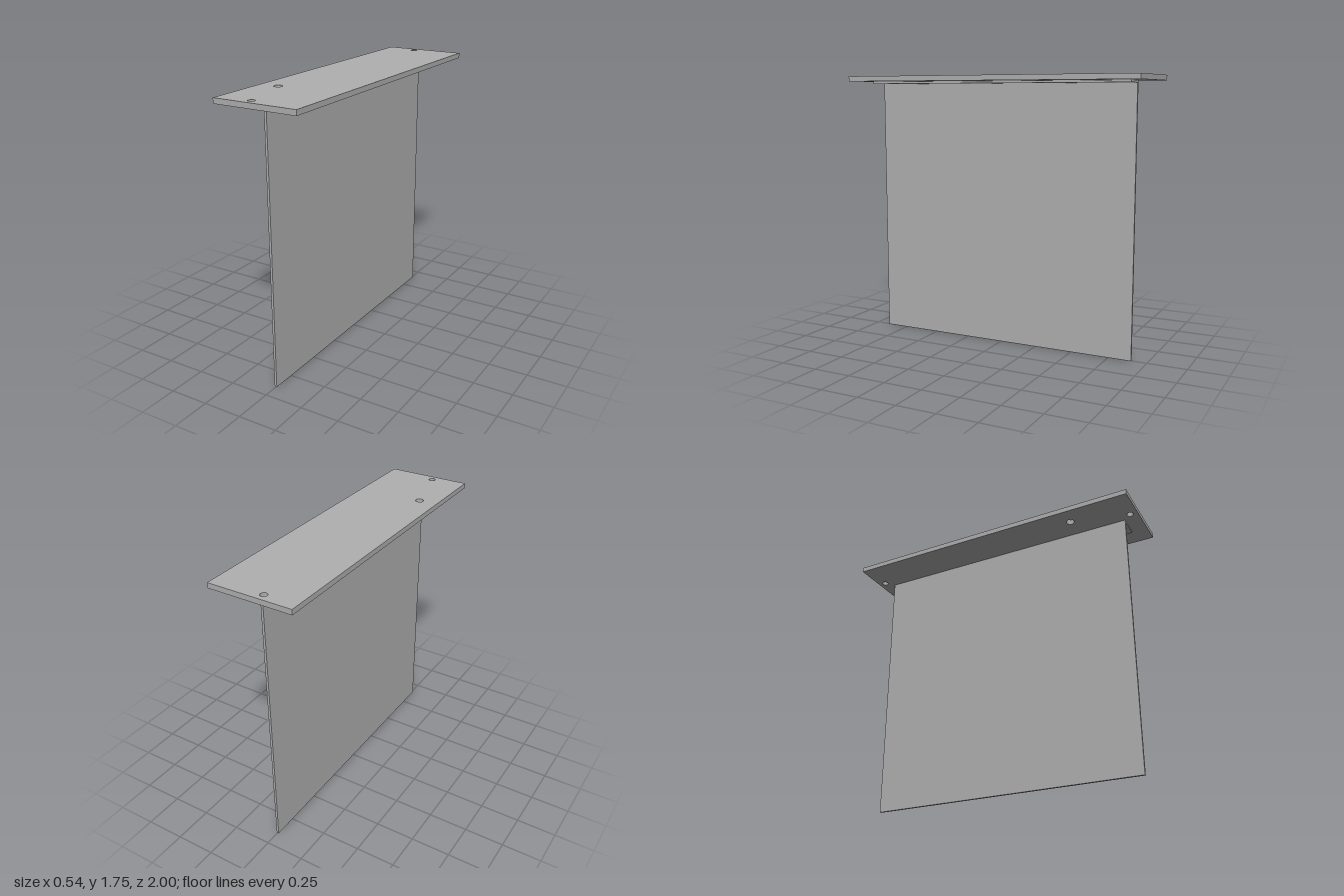
import * as THREE from 'three';

export function createModel() {
  const group = new THREE.Group();
  const grey = new THREE.MeshStandardMaterial({ color: 0xb0b0b0 });
  grey.name = 'grey metal';

  // Extrude a flat shape and name the resulting part
  const addPart = (name, shape, depth) => {
    const geometry = new THREE.ExtrudeGeometry(shape, { depth, bevelEnabled: false, curveSegments: 20 });
    const mesh = new THREE.Mesh(geometry, grey);
    mesh.name = name;
    group.add(mesh);
    return mesh;
  };

  // Top plate, drawn in x and -z, with three drilled holes
  const plate = new THREE.Shape([
    [-0.27, -1], [0.27, -1], [0.27, 1], [-0.27, 1],
  ].map(([x, y]) => new THREE.Vector2(x, y)));
  for (const [x, z, r] of [[-0.06, -0.95, 0.021], [-0.15, 0.575, 0.026], [-0.05, 0.95, 0.021]]) {
    plate.holes.push(new THREE.Path().absarc(x, -z, r, 0, Math.PI * 2, true));
  }
  const top = addPart('topPlate', plate, 0.033);
  top.rotation.x = -Math.PI / 2;
  top.position.y = 1.719;

  // Hanging sheet with its upper edge folded over to +x
  const profile = new THREE.Shape([
    [-0.009, 0], [0.006, 0], [0.006, 1.704], [0.13, 1.704], [0.13, 1.718], [-0.009, 1.718],
  ].map(([x, y]) => new THREE.Vector2(x, y)));
  addPart('foldedPanel', profile, 1.8).position.z = -0.9;

  return group;
}
